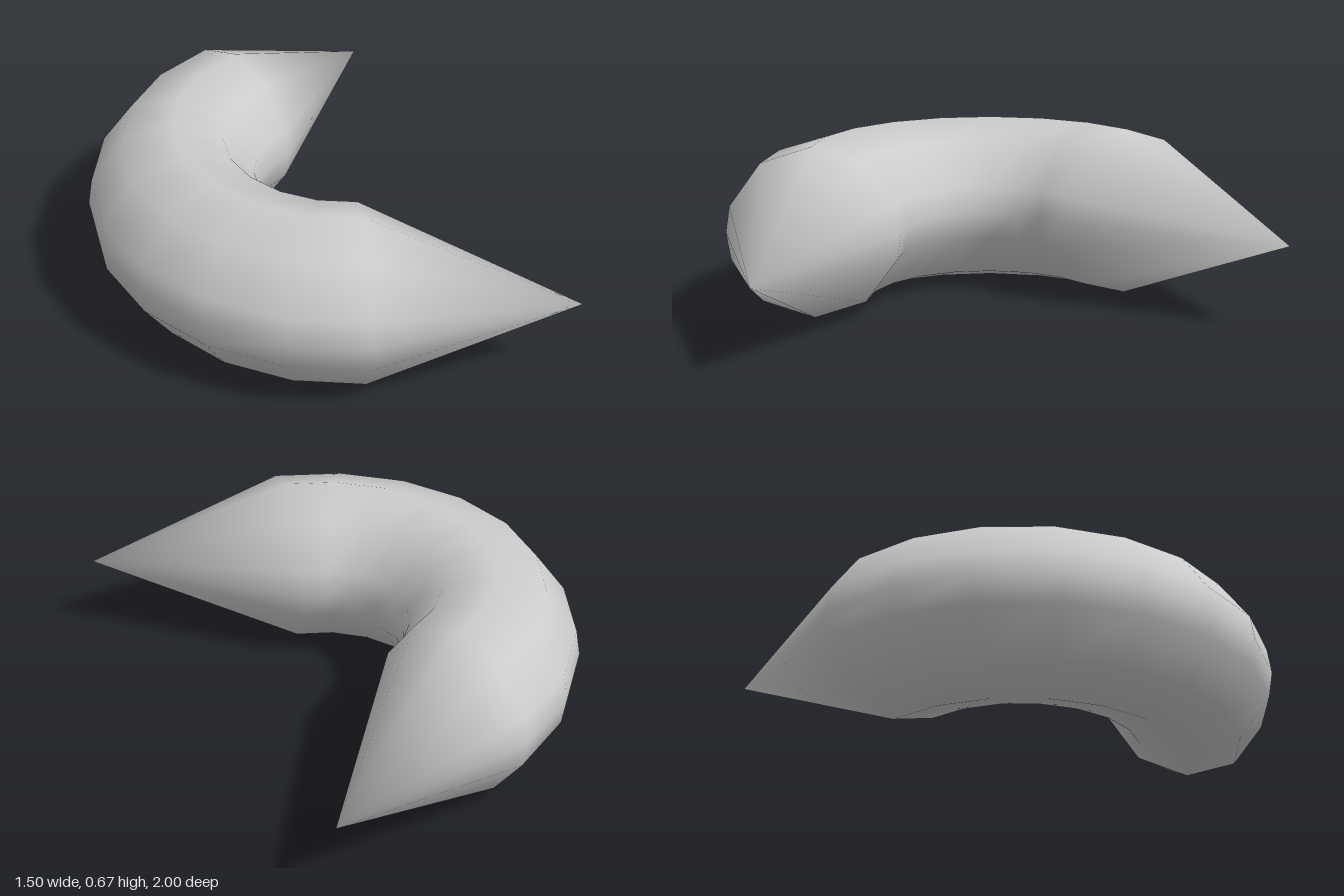
import * as THREE from 'three';

const RING_RADIUS = 0.665, TUBE_RADIUS = 0.333, RING_CENTRE_X = 0.245;
const RINGS = 9;
// Tube section: a decagon with one extra corner at its outer and inner sides
const SECTION = [0, 18, 54, 90, 126, 162, 180, 198, 234, 270, 306, 342].map(THREE.MathUtils.degToRad);

function crescentGeometry() {
  const n = SECTION.length, points = [], faces = [];

  // Sections every 18 degrees along the bend
  for (let i = 0; i < RINGS; i++) {
    const t = THREE.MathUtils.degToRad(-72 + 18 * i);
    for (const a of SECTION) {
      const d = RING_RADIUS + TUBE_RADIUS * Math.cos(a);
      points.push(RING_CENTRE_X - d * Math.cos(t), TUBE_RADIUS * (1 + Math.sin(a)), d * Math.sin(t));
    }
  }

  // Pointed tips
  const backTip = RINGS * n, frontTip = backTip + 1;
  points.push(0.75, TUBE_RADIUS, -1, 0.75, TUBE_RADIUS, 1);

  for (let j = 0; j < n; j++) {
    const k = (j + 1) % n;
    for (let i = 0; i < RINGS - 1; i++) {
      const p = i * n, q = p + n;
      faces.push(p + j, q + j, q + k, p + j, q + k, p + k);
    }
    const last = (RINGS - 1) * n;
    faces.push(backTip, j, k, last + j, frontTip, last + k);
  }

  const geometry = new THREE.BufferGeometry();
  geometry.setAttribute('position', new THREE.Float32BufferAttribute(points, 3));
  geometry.setIndex(faces);
  geometry.computeVertexNormals();
  return geometry;
}

export function createModel() {
  const group = new THREE.Group();
  group.name = 'crescent';
  const body = new THREE.Mesh(crescentGeometry(), new THREE.MeshStandardMaterial({ color: 0xcccccc }));
  body.name = 'crescentBody';
  group.add(body);
  return group;
}
